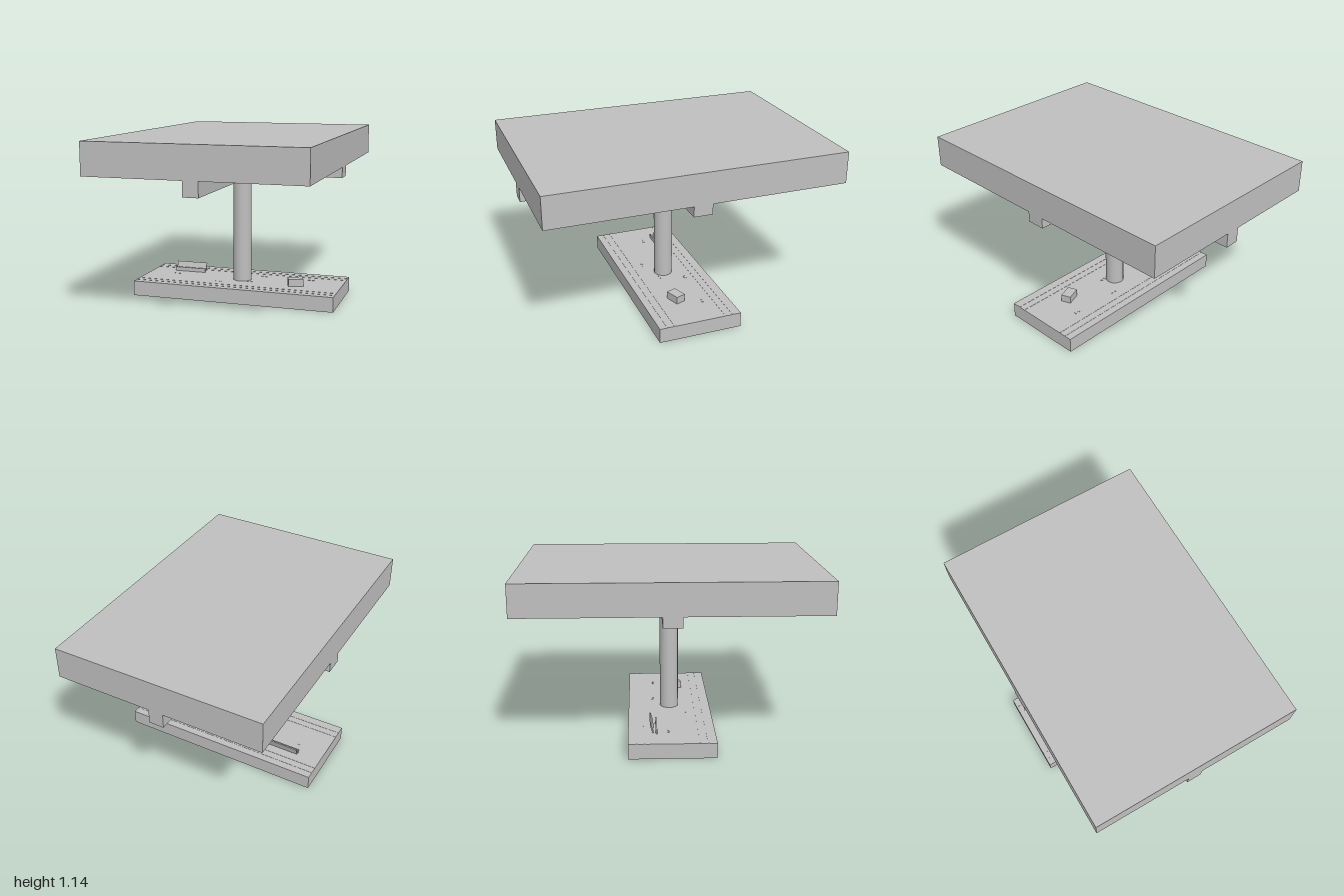
import * as THREE from 'three';

export function createModel() {
  const model = new THREE.Group();
  const grey = new THREE.MeshStandardMaterial({ color: 0xbfbfbf });
  grey.name = 'concrete grey';

  const add = (name, geometry, x, y, z) => {
    const mesh = new THREE.Mesh(geometry, grey);
    mesh.name = name;
    mesh.position.set(x, y, z);
    model.add(mesh);
    return mesh;
  };
  // Box given by its centre in plan and its bottom and top heights
  const box = (name, w, d, y0, y1, x = 0, z = 0) =>
    add(name, new THREE.BoxGeometry(w, y1 - y0, d), x, (y0 + y1) / 2, z);

  // Canopy: slab with two crossing beams below
  box('roofSlab', 1.424, 2, 0.93, 1.145);
  box('crossBeam', 1.424, 0.126, 0.86, 0.93);
  box('longBeam', 0.1, 2, 0.832, 0.93);

  // Ceiling lamps, one in each quarter
  for (const sx of [-1, 1])
    for (const sz of [-1, 1])
      box('ceilingLamp', 0.345, 0.027, 0.908, 0.924, sx * 0.372, sz * 0.2);

  // Column and platform
  add('column', new THREE.CylinderGeometry(0.064, 0.064, 0.734, 16), 0, 0.466, 0);
  box('platform', 1.424, 0.572, 0, 0.102);

  // Edge strips along both sides of the platform
  for (const z of [-0.23, -0.18, 0.18, 0.23])
    box('edgeStrip', 1.424, 0.012, 0.101, 0.1035, 0, z);

  // Bench: low front board and leaning back board
  box('benchSeat', 0.228, 0.01, 0.102, 0.13, -0.432, -0.1);
  const back = box('benchBack', 0.228, 0.008, 0.108, 0.166, -0.432, -0.131);
  back.rotation.x = -0.3;

  // Crate, turned slightly
  const crate = box('crate', 0.103, 0.069, 0.102, 0.153, 0.4, 0.055);
  crate.rotation.y = 0.35;

  // Small flat scraps lying on the platform
  const scraps = [[-0.5, -0.02], [-0.14, 0.11], [0.07, 0.05], [0.13, -0.115], [0.475, -0.105]];
  scraps.forEach(([x, z], i) => {
    for (const side of [-1, 1]) {
      const scrap = box('scrap', 0.016, 0.01, 0.101, 0.104, x + side * 0.014, z);
      scrap.rotation.y = i + side * 0.5;
    }
  });

  return model;
}
